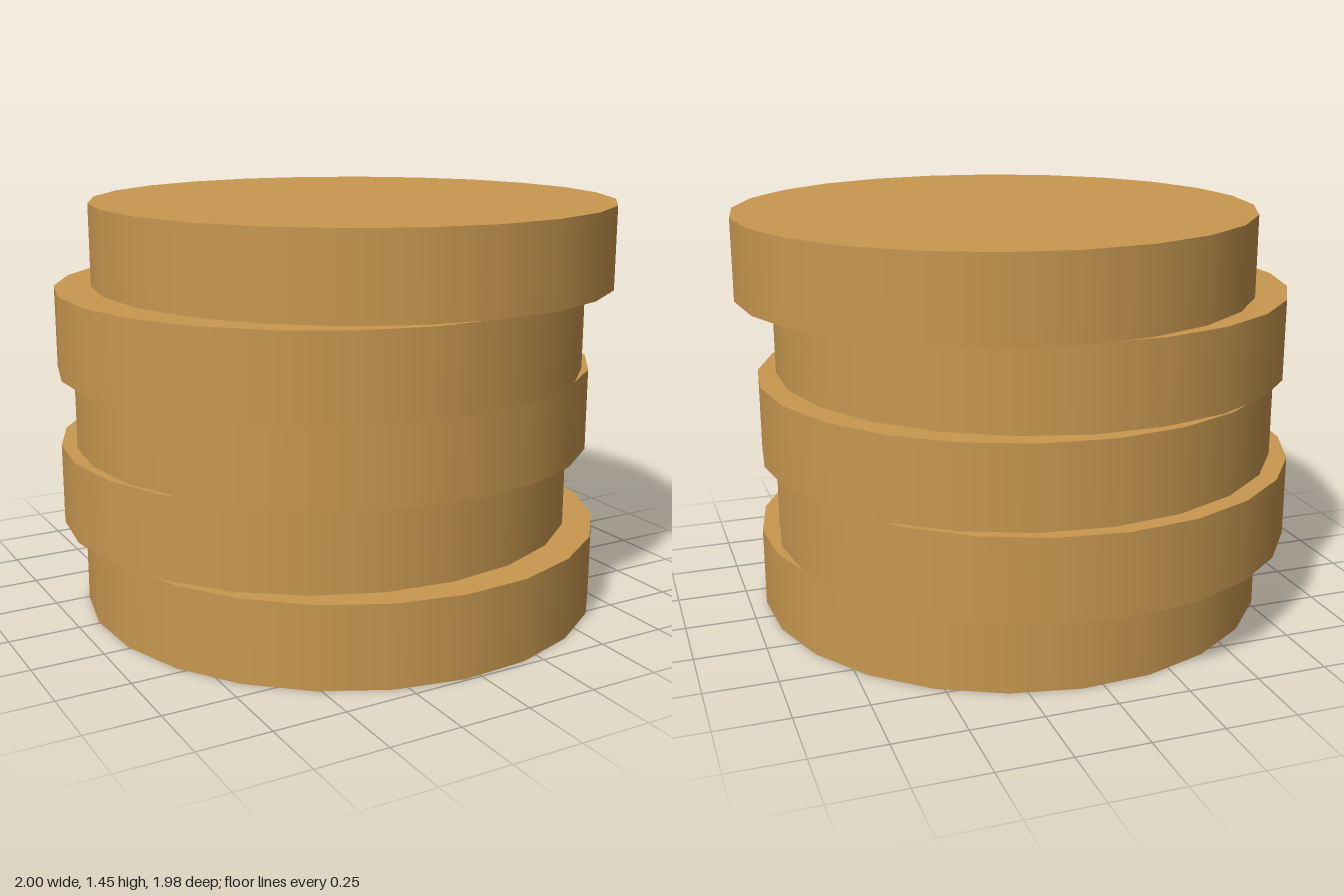
import * as THREE from 'three';

// Stack of five loosely piled round discs
const RADIUS = 0.935;
const THICKNESS = 0.289;

// x offset, z offset and turn in degrees, from bottom to top
const DISCS = [
  [0.008, 0.06, -4],
  [-0.035, -0.053, 0],
  [0.005, 0.003, 0.5],
  [-0.072, 0.055, 7.5],
  [0.065, 0.052, -1.9],
];

export function createModel() {
  const model = new THREE.Group();
  model.name = 'discStack';

  const tan = new THREE.MeshStandardMaterial({ color: 0xc89850 });
  tan.name = 'goldenTan';

  const geometry = new THREE.CylinderGeometry(RADIUS, RADIUS, THICKNESS, 24);

  DISCS.forEach(([x, z, turn], i) => {
    const disc = new THREE.Mesh(geometry, tan);
    disc.name = `disc${i + 1}`;
    disc.position.set(x, (i + 0.5) * THICKNESS, z);
    disc.rotation.y = THREE.MathUtils.degToRad(turn);
    model.add(disc);
  });

  return model;
}
